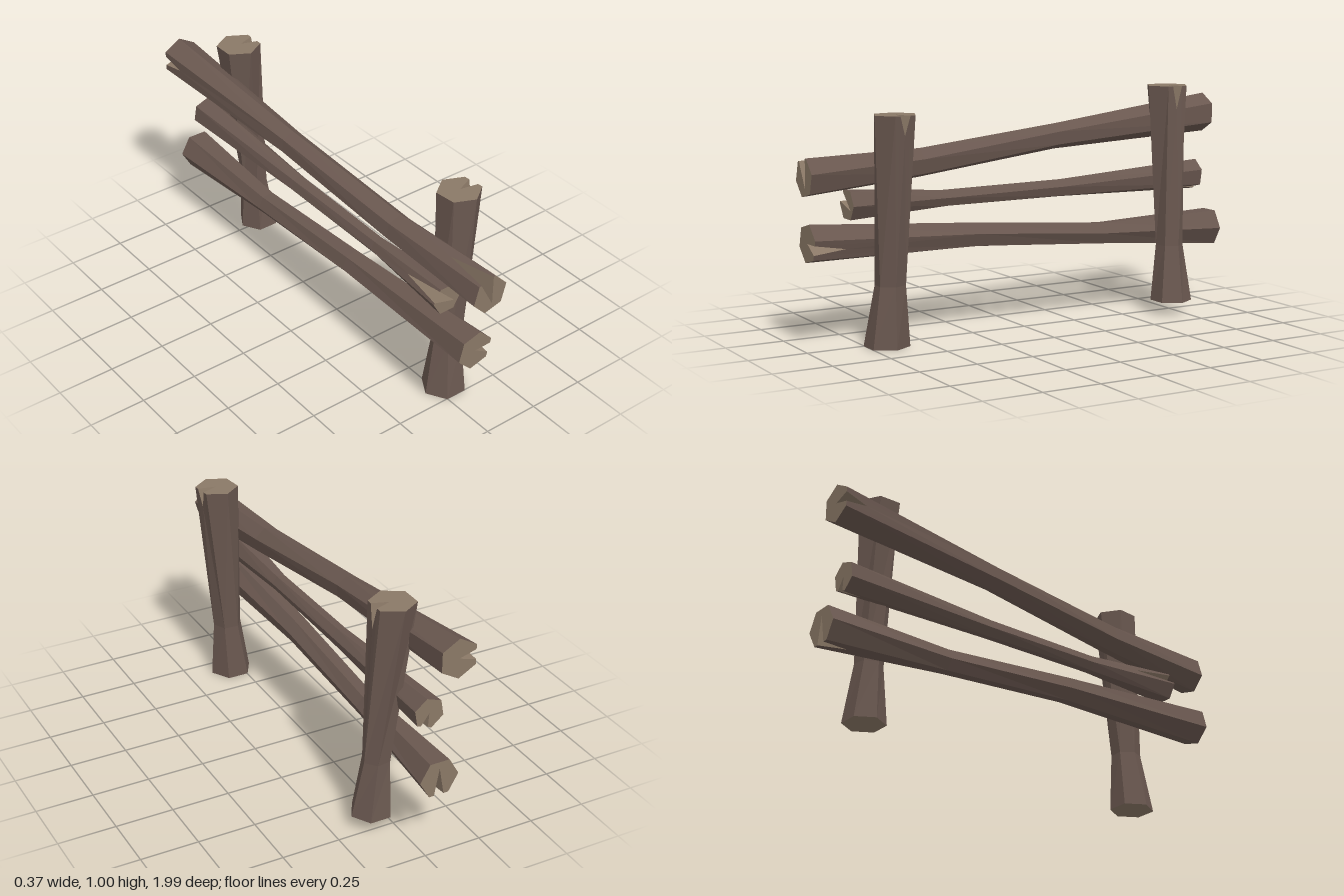
import * as THREE from 'three';

const SIDES = 6;
const STEP = (Math.PI * 2) / SIDES;

// A faceted log along z. Sections are [x, y, z, radius, turn in degrees], z rising.
// Each notch is { angle, depth, split, width }: a wedge split into that end.
function logGeometry(sections, startNotch, endNotch) {
  const bark = [], cut = [];
  const rings = sections.map(([x, y, z, r, turn]) =>
    Array.from({ length: SIDES }, (_, k) => {
      const a = THREE.MathUtils.degToRad(turn) + k * STEP;
      return new THREE.Vector3(x + r * Math.cos(a), y + r * Math.sin(a), z);
    }));
  const last = rings.length - 1;
  const tri = (list, flip, a, b, c) => list.push(...(flip ? [a, c, b] : [a, b, c]));
  const edgeOf = (notch, turn) =>
    ((Math.round((notch.angle - turn) / 60 - 0.5) % SIDES) + SIDES) % SIDES;

  const ends = [[0, 1, startNotch], [last, last - 1, endNotch]].map(([i, j, notch]) => {
    const ring = rings[i], next = rings[j], flip = i === 0;
    const [x, y, z, , turn] = sections[i];
    const center = new THREE.Vector3(x, y, z);
    if (!notch) {
      for (let k = 0; k < SIDES; k++) tri(cut, flip, center, ring[k], ring[(k + 1) % SIDES]);
      return -1;
    }
    const k = edgeOf(notch, turn), k1 = (k + 1) % SIDES;
    const v0 = ring[k], v1 = ring[k1], p0 = next[k], p1 = next[k1];
    const mid = v0.clone().lerp(v1, 0.5);
    const a = mid.clone().lerp(v0, notch.width), b = mid.clone().lerp(v1, notch.width);
    const tip = mid.clone().lerp(center, notch.depth);
    const f = notch.split / Math.abs(z - sections[j][2]);
    const deep = mid.clone().lerp(p0.clone().lerp(p1, 0.5), f);
    // end grain around the wedge
    tri(cut, flip, tip, b, v1);
    for (let s = 1; s < SIDES; s++) tri(cut, flip, tip, ring[(k + s) % SIDES], ring[(k + s + 1) % SIDES]);
    tri(cut, flip, tip, v0, a);
    // wedge walls
    tri(cut, flip, a, deep, tip);
    tri(cut, flip, b, tip, deep);
    // split side face
    tri(bark, flip, p0, p1, deep);
    tri(bark, flip, p0, deep, a);
    tri(bark, flip, p0, a, v0);
    tri(bark, flip, p1, v1, b);
    tri(bark, flip, p1, b, deep);
    return k;
  });

  // remaining side faces
  for (let i = 0; i < last; i++) {
    for (let k = 0; k < SIDES; k++) {
      if ((i === 0 && k === ends[0]) || (i === last - 1 && k === ends[1])) continue;
      const k1 = (k + 1) % SIDES;
      tri(bark, false, rings[i][k], rings[i][k1], rings[i + 1][k1]);
      tri(bark, false, rings[i][k], rings[i + 1][k1], rings[i + 1][k]);
    }
  }

  const geometry = new THREE.BufferGeometry().setFromPoints([...bark, ...cut]);
  geometry.addGroup(0, bark.length, 0);
  geometry.addGroup(bark.length, cut.length, 1);
  return geometry;
}

export function createModel() {
  const group = new THREE.Group();
  const bark = new THREE.MeshStandardMaterial({ color: 0x69574f });
  bark.name = 'bark brown';
  const cutWood = new THREE.MeshStandardMaterial({ color: 0x8a7866 });
  cutWood.name = 'cut wood tan';

  const add = (name, geometry) => {
    geometry.computeVertexNormals();
    const mesh = new THREE.Mesh(geometry, [bark, cutWood]);
    mesh.name = name;
    group.add(mesh);
  };

  // Upright posts: sections are [x, -z, height, radius, turn]
  const post = (name, sections, notch) =>
    add(name, logGeometry(sections, null, notch).rotateX(-Math.PI / 2));
  post('frontPost', [
    [0.045, -0.67, 0.005, 0.095, 0],
    [0.062, -0.66, 0.26, 0.064, -5],
    [0.1, -0.65, 0.952, 0.093, -24],
  ], { angle: 0, depth: 0.95, split: 0.08, width: 0.5 });
  post('backPost', [
    [0.078, 0.705, 0.063, 0.09, 0],
    [0.06, 0.705, 0.31, 0.06, 8],
    [0.01, 0.717, 1.01, 0.095, 30],
  ], { angle: 0, depth: 0.85, split: 0.1, width: 0.5 });

  // Rails: sections are [x, y, z, radius, turn] from back to front
  add('topRail', logGeometry([
    [-0.115, 0.87, -1, 0.086, 30],
    [-0.085, 0.805, -0.2, 0.056, 24],
    [-0.055, 0.733, 0.47, 0.063, 18],
    [-0.025, 0.707, 0.99, 0.083, 14],
  ], { angle: 190, depth: 1, split: 0.1, width: 0.5 },
  { angle: 104, depth: 1.7, split: 0.2, width: 0.75 }));
  add('middleRail', logGeometry([
    [-0.05, 0.6, -0.91, 0.068, 20],
    [-0.052, 0.583, -0.2, 0.041, 12],
    [-0.055, 0.578, 0.35, 0.038, 6],
    [-0.063, 0.58, 0.79, 0.068, 0],
  ], { angle: 260, depth: 1, split: 0.1, width: 0.5 },
  { angle: 150, depth: 1.7, split: 0.2, width: 0.75 }));
  add('bottomRail', logGeometry([
    [-0.05, 0.355, -1, 0.086, 0],
    [-0.06, 0.367, -0.42, 0.052, 5],
    [-0.067, 0.41, 0.2, 0.057, 10],
    [-0.062, 0.435, 0.965, 0.084, 15],
  ], { angle: 270, depth: 1.6, split: 0.12, width: 0.5 },
  { angle: -15, depth: 1, split: 0.14, width: 0.5 }));

  return group;
}
